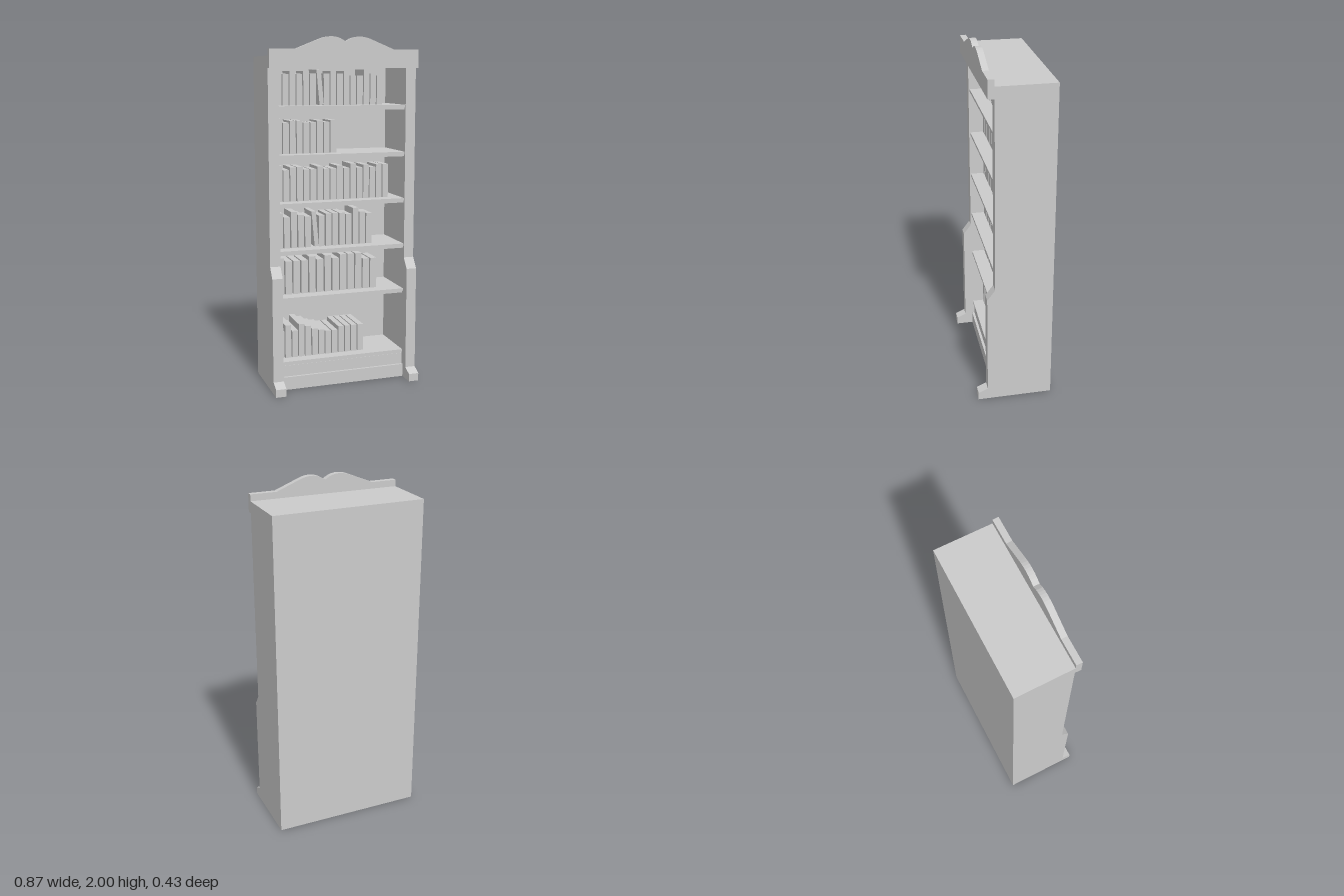
import * as THREE from 'three';

const material = new THREE.MeshStandardMaterial({ color: 0xcccccc, flatShading: true });

const HALF = 0.435;   // half of the outer width
const INNER = 0.375;  // half of the opening
const BACK = -0.215;

export function createModel() {
  const model = new THREE.Group();
  model.name = 'bookcase';

  function add(name, geometry) {
    const mesh = new THREE.Mesh(geometry, material);
    mesh.name = name;
    model.add(mesh);
    return mesh;
  }

  // Box given by its limits on each axis
  function box(name, x0, x1, y0, y1, z0, z1) {
    const mesh = add(name, new THREE.BoxGeometry(x1 - x0, y1 - y0, z1 - z0));
    mesh.position.set((x0 + x1) / 2, (y0 + y1) / 2, (z0 + z1) / 2);
    return mesh;
  }

  // Side panels with a deeper lower half and a sloped foot, drawn as (z, y)
  const profile = new THREE.Shape([
    [BACK, 0], [0.215, 0], [0.215, 0.045], [0.16, 0.07],
    [0.16, 0.67], [0.115, 0.73], [0.115, 1.895], [BACK, 1.895],
  ].map(([z, y]) => new THREE.Vector2(z, y)));
  for (const [name, x] of [['leftSide', HALF], ['rightSide', -INNER]]) {
    const panel = new THREE.ExtrudeGeometry(profile, { depth: HALF - INNER, bevelEnabled: false });
    panel.rotateY(-Math.PI / 2);
    add(name, panel).position.x = x;
  }

  // Back, top and base
  box('backPanel', -INNER, INNER, 0, 1.895, BACK, -0.2);
  box('topPanel', -INNER, INNER, 1.835, 1.895, -0.2, 0.115);
  box('plinth', -INNER, INNER, 0.07, 0.14, -0.2, 0.1);
  box('skirting', -INNER, INNER, 0, 0.075, 0.1, 0.115);

  // Cornice with a double arch
  const crest = new THREE.Shape();
  crest.moveTo(-HALF, 1.83);
  crest.lineTo(HALF, 1.83);
  crest.lineTo(HALF, 1.932);
  crest.lineTo(0.285, 1.932);
  crest.lineTo(0.145, 1.988);
  crest.quadraticCurveTo(0.085, 2.012, 0.03, 1.99);
  crest.lineTo(0, 1.973);
  crest.lineTo(-0.03, 1.99);
  crest.quadraticCurveTo(-0.085, 2.012, -0.145, 1.988);
  crest.lineTo(-0.285, 1.932);
  crest.lineTo(-HALF, 1.932);
  const cornice = new THREE.ExtrudeGeometry(crest, { depth: 0.035, bevelEnabled: false, curveSegments: 6 });
  add('cornice', cornice).position.z = 0.115;

  // Shelves with their books: top height, spacing, thickness, leaning book, heights in hundredths
  const rows = [
    { y: 1.623, step: 0.04, width: 0.034, lean: 6, front: 0.03, depth: 0.15,
      heights: [20, 17.5, 19, 17.5, 19, 17.5, 19.8, 17.5, 19, 17.5, 19, 16.5, 16.5, 20, 17.5, 16.5] },
    { y: 1.353, step: 0.04, width: 0.034, lean: -1, front: 0.03, depth: 0.15,
      heights: [19.6, 17.5, 18.5, 18.5, 17.5, 17.5, 18.5, 17.5, 18.5] },
    { y: 1.082, step: 0.04, width: 0.034, lean: -1, front: 0.03, depth: 0.15,
      heights: [20.5, 18, 19.5, 19.5, 18, 18, 19.5, 18, 18, 19.5, 18, 20.5, 18, 19.5, 18, 19.5, 19.5] },
    { y: 0.812, step: 0.0415, width: 0.034, lean: 5, front: 0.03, depth: 0.15,
      heights: [20.5, 18, 21, 19, 18, 20.5, 18, 19, 19, 19, 18, 21.5, 19, 18] },
    { y: 0.541, step: 0.0472, width: 0.039, lean: -1, front: 0.03, depth: 0.15,
      heights: [21.5, 19.5, 19.5, 19.5, 21.5, 19.5, 21.5, 19.5, 21.5, 21.5, 21.5, 18, 18] },
    { y: 0.165, step: 0.0404, width: 0.034, lean: -1, front: 0.04, depth: 0.22,
      heights: [16, 19.5, 16, 19.5, 18, 16, 15, 14, 14, 16, 16, 16, 16] },
  ];
  rows.forEach((row, r) => {
    // Board with a slightly stepped front edge
    box(`shelf${r + 1}`, -INNER, INNER, row.y - 0.015, row.y, -0.2, 0.108);
    box(`shelfUnderside${r + 1}`, -INNER, INNER, row.y - 0.027, row.y - 0.015, -0.2, 0.098);
    row.heights.forEach((h, i) => {
      const x = -0.37 + i * row.step;
      const leans = i === row.lean;
      const width = leans ? row.width * 0.75 : row.width;
      const x0 = leans ? x + 0.006 : x;
      const book = box('book', x0, x0 + width, row.y, row.y + h / 100, row.front - row.depth, row.front);
      if (leans) {
        book.rotation.z = 0.09;
        book.position.y += 0.002;
      }
    });
  });

  return model;
}
